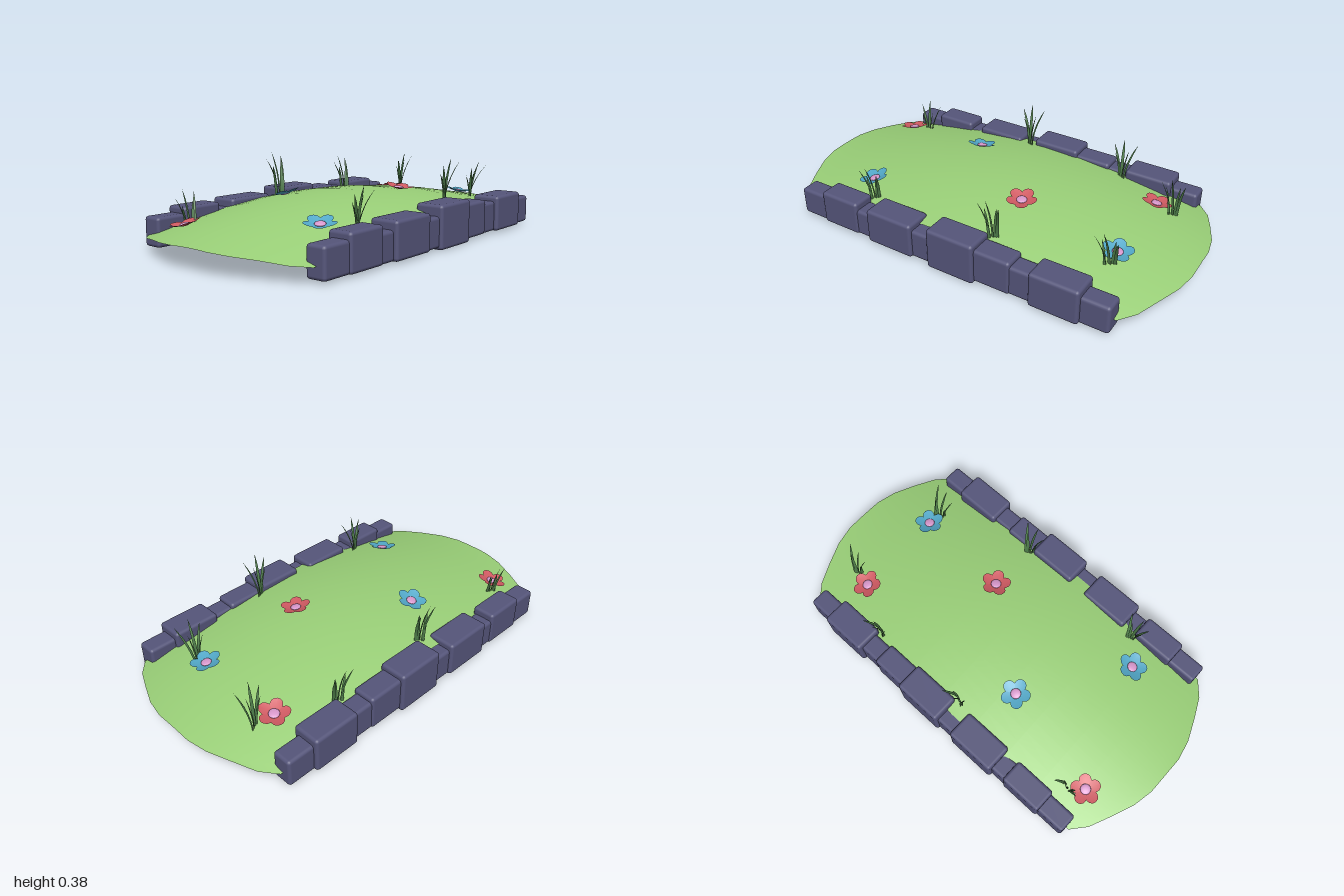
import * as THREE from 'three';
import { mergeGeometries } from 'three/addons/utils/BufferGeometryUtils.js';
import { RoundedBoxGeometry } from 'three/addons/geometries/RoundedBoxGeometry.js';

const mat = (color, side = THREE.FrontSide) => new THREE.MeshStandardMaterial({ color, side });
const stone = mat(0x55557a);
const grass = mat(0x9ad078, THREE.DoubleSide);
const leaf = mat(0x4c7a48, THREE.DoubleSide);
const red = mat(0xd05a62, THREE.DoubleSide);
const blue = mat(0x52a8c8, THREE.DoubleSide);
const pink = mat(0xd898cc);

// Height of the arched ground at a point
const groundY = (x, z) =>
  0.1 + 0.12 * Math.pow(Math.max(0, Math.cos(z * Math.PI / 2)), 1.1) - 0.28 * x * x;

// Surface from a grid of rows of points
function gridGeometry(rows) {
  const n = rows[0].length, index = [];
  for (let i = 0; i < rows.length - 1; i++) {
    for (let j = 0; j < n - 1; j++) {
      const a = i * n + j, b = a + n;
      index.push(a, b, a + 1, a + 1, b, b + 1);
    }
  }
  const g = new THREE.BufferGeometry();
  g.setAttribute('position', new THREE.Float32BufferAttribute(rows.flat(2), 3));
  g.setIndex(index);
  g.computeVertexNormals();
  return g;
}

// Lawn: arched sheet with rounded ends, [z, half width] per row
function makeLawn() {
  const half = [[0, 0.465], [0.2, 0.465], [0.4, 0.47], [0.6, 0.475], [0.75, 0.485],
    [0.83, 0.48], [0.89, 0.41], [0.935, 0.31], [0.98, 0.2], [1, 0.1]];
  const outline = [...half.slice(1).reverse().map(([z, w]) => [-z, w]), ...half];
  const rows = outline.map(([z, w]) => {
    const row = [];
    for (let j = 0; j <= 16; j++) {
      const x = w * (j / 8 - 1);
      row.push([x, groundY(x, z), z]);
    }
    return row;
  });
  const mesh = new THREE.Mesh(gridGeometry(rows), grass);
  mesh.name = 'lawn';
  return mesh;
}

// Kerb stones: [z start, z end, inner x, outer x, top y]
const STONES = [
  [-0.82, -0.66, 0.425, 0.52, 0.145],
  [-0.69, -0.455, 0.405, 0.54, 0.18],
  [-0.48, -0.33, 0.425, 0.52, 0.155],
  [-0.36, -0.17, 0.415, 0.527, 0.175],
  [-0.185, 0.058, 0.405, 0.543, 0.2],
  [0.03, 0.17, 0.43, 0.528, 0.15],
  [0.145, 0.395, 0.405, 0.543, 0.18],
  [0.37, 0.49, 0.425, 0.523, 0.14],
  [0.465, 0.675, 0.415, 0.53, 0.175],
  [0.65, 0.815, 0.425, 0.52, 0.145],
];

function makeKerb(side, name) {
  const kerb = new THREE.Group();
  kerb.name = name;
  for (const [z0, z1, x0, x1, top] of STONES) {
    const bottom = top > 0.19 ? 0 : 0.01;
    const mesh = new THREE.Mesh(new RoundedBoxGeometry(x1 - x0, top - bottom, z1 - z0, 2, 0.015), stone);
    mesh.position.set(side * (x0 + x1) / 2, (top + bottom) / 2, (z0 + z1) / 2);
    mesh.name = 'kerbStone';
    kerb.add(mesh);
  }
  return kerb;
}

// Flower: five cupped round petals and a flat button centre
function makeFlower(x, z, material, tiltX, tiltZ, spin) {
  const flower = new THREE.Group();
  flower.name = 'flower';
  const petals = [];
  for (let i = 0; i < 5; i++) {
    const g = new THREE.CircleGeometry(0.029, 12).rotateX(-Math.PI / 2).translate(0.043, 0, 0);
    const p = g.attributes.position;
    for (let k = 0; k < p.count; k++) {
      const r = Math.max(0, p.getX(k));
      p.setY(k, 3.2 * r * r + 5 * p.getZ(k) ** 2);
    }
    g.computeVertexNormals();
    petals.push(g.rotateY(i * Math.PI * 2 / 5 + spin));
  }
  const petalMesh = new THREE.Mesh(mergeGeometries(petals), material);
  petalMesh.name = 'petals';
  const centre = new THREE.Mesh(new THREE.SphereGeometry(0.025, 14, 8).scale(1, 0.3, 1), pink);
  centre.position.y = 0.005;
  centre.name = 'flowerCentre';
  flower.add(petalMesh, centre);
  flower.position.set(x, groundY(x, z) + 0.008, z);
  flower.rotation.set(tiltX, 0, tiltZ);
  return flower;
}

// Grass blade: folded tapering ribbon bending outward from its root
function bladeGeometry(x, y, z, height, dx, dz) {
  const rows = [];
  const angle = Math.atan2(dx, dz) + Math.PI / 2;
  const sx = Math.sin(angle), sz = Math.cos(angle);
  for (let i = 0; i <= 6; i++) {
    const t = i / 6, bend = t * t;
    const w = 0.0095 * (0.55 + 1.3 * t) * Math.pow(1 - t, 0.7) + 0.0003;
    const cx = x + dx * bend, cy = y + height * t, cz = z + dz * bend;
    const fold = w * 0.5;
    rows.push([
      [cx - sx * w, cy, cz - sz * w],
      [cx + sz * fold, cy, cz - sx * fold],
      [cx + sx * w, cy, cz + sz * w],
    ]);
  }
  return gridGeometry(rows);
}

// Blades of one tuft: [root offset z, tip lean x, tip lean z, relative height]
const BLADES = [
  [-0.015, 0.055, -0.04, 0.92],
  [-0.006, 0.015, -0.018, 0.8],
  [0.002, 0.04, 0.012, 1],
  [0.012, 0.025, 0.05, 0.86],
  [0.016, -0.008, 0.028, 0.7],
];

function makeTuft(x, z, bottom, top, lean) {
  const blades = BLADES.map(([oz, dx, dz, h], i) =>
    bladeGeometry(x + (i - 2) * 0.005 * lean, bottom, z + oz, (top - bottom) * h, dx * lean, dz));
  const mesh = new THREE.Mesh(mergeGeometries(blades), leaf);
  mesh.name = 'grassTuft';
  return mesh;
}

export function createModel() {
  const model = new THREE.Group();
  model.name = 'gardenBridge';
  model.add(makeLawn(), makeKerb(1, 'leftKerb'), makeKerb(-1, 'rightKerb'));

  // Flowers: x, z, colour, tilt about x and z, spin
  const flowers = [
    [-0.27, -0.68, red, -0.12, 0.15, 0.3],
    [0.18, -0.69, blue, -0.12, -0.1, 0.9],
    [0.14, -0.19, red, -0.05, -0.13, 0.5],
    [-0.2, 0.25, blue, 0.05, 0.25, 0.2],
    [0.28, 0.56, blue, 0.2, -0.15, 0.35],
    [-0.3, 0.77, red, 0.15, 0.17, 0.8],
  ];
  for (const f of flowers) model.add(makeFlower(...f));

  // Grass tufts: x, z, bottom, top, lean direction along x
  const tufts = [
    [-0.25, -0.77, 0.09, 0.33, 0.9],
    [0.25, -0.69, 0.07, 0.32, 1.5],
    [-0.4, -0.44, 0.12, 0.33, -1],
    [0.395, -0.2, 0.145, 0.38, 1],
    [-0.4, 0.08, 0.17, 0.38, -1],
    [0.395, 0.46, 0.11, 0.32, 1],
    [-0.345, 0.7, 0.035, 0.265, -0.9],
  ];
  for (const t of tufts) model.add(makeTuft(...t));
  return model;
}
